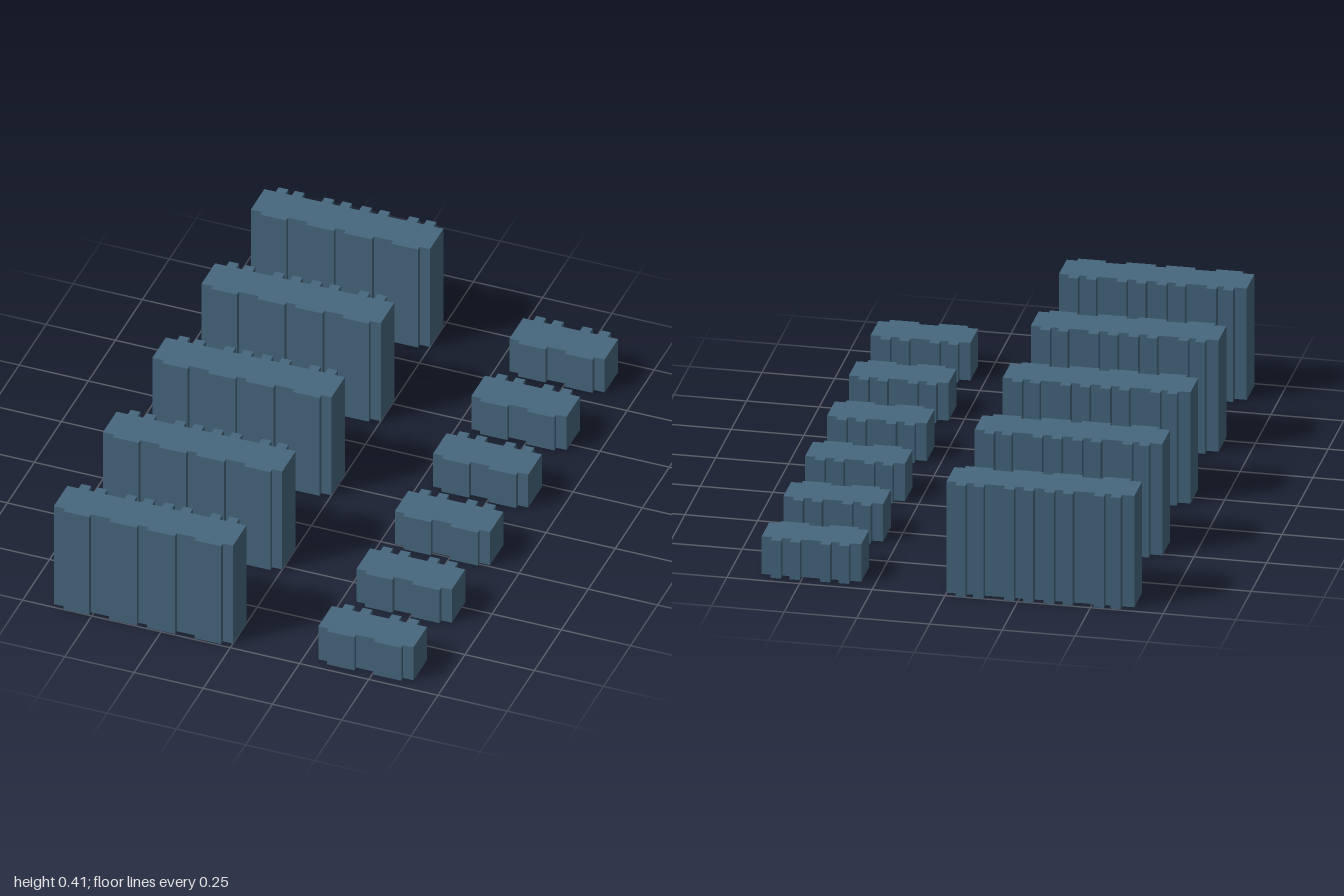
import * as THREE from 'three';

const SKEW = 0.012; // the blocks sit very slightly turned
const FRONT = 0.067, BAY = 0.084, BACK = -0.058, TOOTH = -0.085;
const TOOTH_WIDTH = 0.035;

// Footprint: each bay steps out at the front and carries two narrow piers at the back.
function blockGeometry(x0, x1, bays, height) {
  const mid = (x0 + x1) / 2;
  const outline = [];
  const add = (x, z) => outline.push(new THREE.Vector2(x, -(z - SKEW * (x - mid))));
  const step = (a, b, base, out) => {
    add(a, base); add(a, out); add(b, out); add(b, base);
  };

  // front edge, left to right
  add(x0, FRONT);
  for (const [a, b] of bays) step(a, b, FRONT, BAY);
  add(x1, FRONT);

  // back edge, right to left
  add(x1, BACK);
  for (const [a, b] of [...bays].reverse()) {
    step(b, b - TOOTH_WIDTH, BACK, TOOTH);
    step(a + TOOTH_WIDTH, a, BACK, TOOTH);
  }
  add(x0, BACK);

  const geometry = new THREE.ExtrudeGeometry(new THREE.Shape(outline), {
    depth: height, bevelEnabled: false,
  });
  return geometry.rotateX(-Math.PI / 2);
}

export function createModel() {
  const model = new THREE.Group();
  model.name = 'housingBlocks';
  const material = new THREE.MeshStandardMaterial({ color: 0x46687f });

  // evenly spaced row of identical blocks along z
  const addRow = (name, geometry, count, spacing) => {
    const row = new THREE.Group();
    row.name = name + 'Row';
    for (let i = 0; i < count; i++) {
      const block = new THREE.Mesh(geometry, material);
      block.name = name + (i + 1);
      block.position.z = (i - (count - 1) / 2) * spacing;
      row.add(block);
    }
    model.add(row);
  };

  // tall slab blocks
  const tallBays = [[-0.603, -0.51], [-0.438, -0.339], [-0.303, -0.202], [-0.132, -0.036]];
  addRow('tallBlock', blockGeometry(-0.644, 0, tallBays, 0.407), 5, 0.456);

  // low blocks
  const lowBays = [[0.337, 0.436], [0.505, 0.605]];
  addRow('lowBlock', blockGeometry(0.3, 0.642, lowBays, 0.137), 6, 0.354);

  return model;
}
